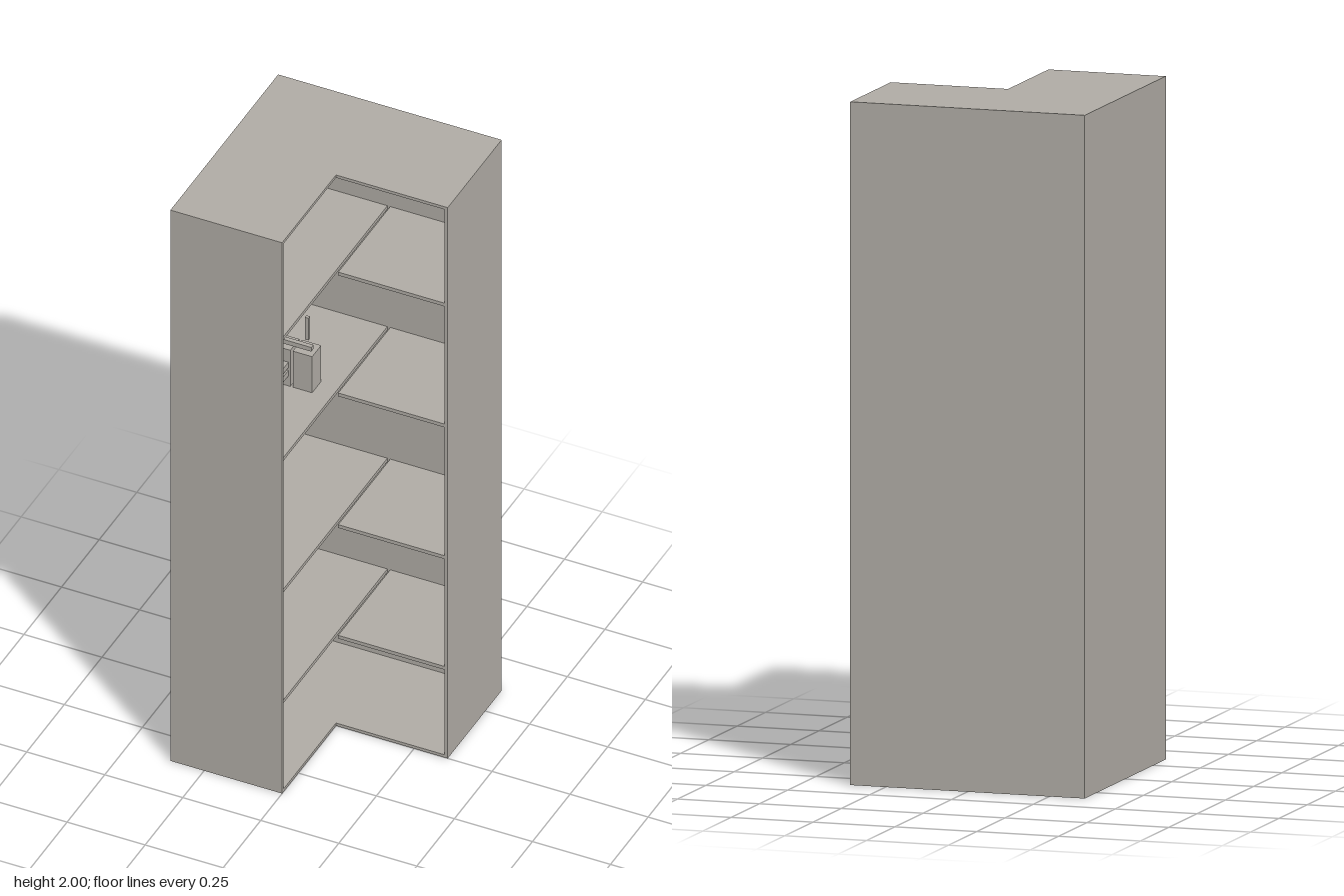
import * as THREE from 'three';

const W = 0.358; // half width of the L-shaped footprint
const T = 0.01;  // board thickness

export function createModel() {
  const group = new THREE.Group();
  const grey = new THREE.MeshStandardMaterial({ color: 0xb0aca5 });
  grey.name = 'warm grey';

  const add = (name, geometry) => {
    const mesh = new THREE.Mesh(geometry, grey);
    mesh.name = name;
    group.add(mesh);
    return mesh;
  };
  // Box given by its limits on each axis
  const box = (name, x0, x1, y0, y1, z0, z1) => {
    const mesh = add(name, new THREE.BoxGeometry(x1 - x0, y1 - y0, z1 - z0));
    mesh.position.set((x0 + x1) / 2, (y0 + y1) / 2, (z0 + z1) / 2);
  };

  // L-shaped floor and top boards, notched at the front left
  const outline = new THREE.Shape([
    [-W, -W], [0, -W], [0, 0], [W, 0], [W, W], [-W, W],
  ].map(([x, y]) => new THREE.Vector2(x, y)));
  for (const [name, y] of [['floorBoard', 0], ['topBoard', 2 - T]]) {
    const board = new THREE.ExtrudeGeometry(outline, { depth: T, bevelEnabled: false });
    board.rotateX(-Math.PI / 2);
    add(name, board).position.y = y;
  }

  // Outer walls; both sides of the notch stay open
  box('backWall', -W, W, T, 2 - T, -W, -W + T);
  box('rightWall', -W, -W + T, T, 2 - T, -W + T, W);
  box('frontPanel', -W + T, 0, T, 2 - T, W - T, W);
  box('leftPanel', W - T, W, T, 2 - T, -W + T, 0);

  // Each level has a deep shelf and a short one in the side wing
  for (const y of [0.323, 0.725, 1.203, 1.642]) {
    box('deepShelf', -W + T, -0.003, y - 0.006, y + 0.006, -W + T, W - T);
    box('sideShelf', 0.006, W - T, y - 0.006, y + 0.006, -W + T, -0.002);
  }

  // Fittings on the upper shelf: two cases, prongs, upright plates and a rail
  for (const x of [-0.093, -0.163]) {
    box('fittingCase', x - 0.031, x + 0.031, 1.13, 1.34, -0.03, 0.03);
    box('uprightPlate', x - 0.004, x + 0.008, 1.375, 1.455, -0.005, 0.006);
  }
  for (const y of [1.245, 1.275])
    for (const x of [-0.19, -0.158])
      box('prong', x, x + 0.02, y, y + 0.02, 0.03, 0.075);
  box('rail', -0.26, -0.012, 1.45, 1.465, 0.125, 0.139);

  return group;
}
